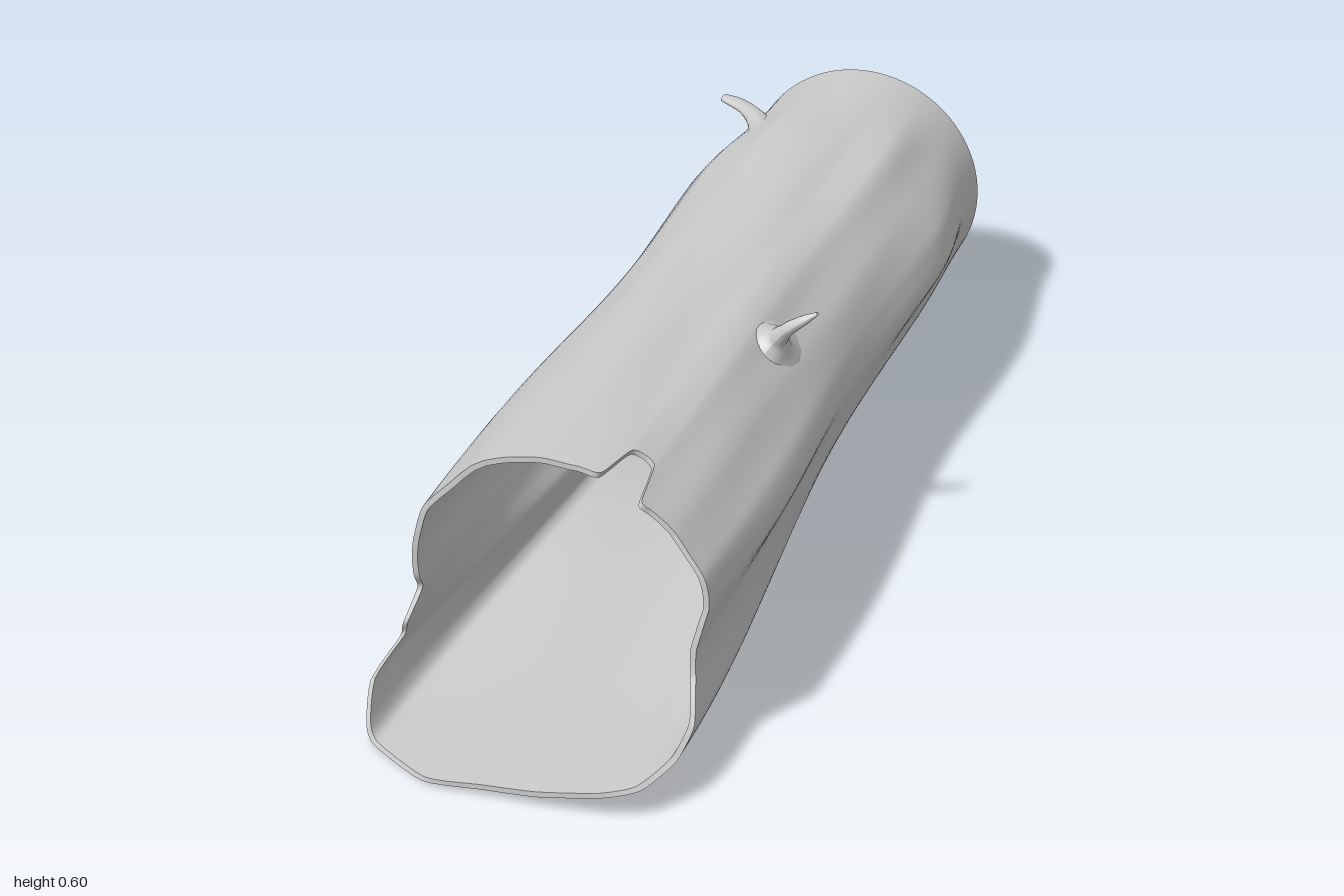
import * as THREE from 'three';

const material = new THREE.MeshStandardMaterial({ color: 0xcccccc, side: THREE.DoubleSide });
const CX = 0.02, CY = 0.305, R = 0.256;
const { smoothstep, lerp, clamp } = THREE.MathUtils;

// Broken-end outline, counter-clockwise: x, y and the z where the wall stops
const outline = [
  [0.315, 0.33, 0.77], [0.302, 0.4, 0.77], [0.245, 0.465, 0.76], [0.2, 0.505, 0.76],
  [0.18, 0.523, 0.76], [0.163, 0.535, 0.66], [0.12, 0.55, 0.66], [0.1, 0.555, 0.76], // splintered notch
  [0.06, 0.565, 0.76], [-0.01, 0.571, 0.76], [-0.08, 0.558, 0.76], [-0.18, 0.497, 0.76],
  [-0.245, 0.43, 0.77], [-0.267, 0.36, 0.77], [-0.272, 0.27, 0.76], [-0.275, 0.23, 0.74],
  [-0.288, 0.17, 0.77], [-0.3, 0.13, 0.76], [-0.315, 0.09, 0.85], [-0.303, 0.03, 0.9],
  [-0.28, 0.003, 0.92], [-0.15, 0.012, 1], [-0.04, 0.021, 1], [0.07, 0.032, 1],
  [0.19, 0.06, 1], [0.25, 0.07, 0.97], [0.292, 0.1, 0.91], [0.3, 0.13, 0.84],
  [0.288, 0.19, 0.79], [0.284, 0.25, 0.78],
];
const rim = new THREE.CatmullRomCurve3(outline.map(p => new THREE.Vector3(...p)), true, 'catmullrom', 0.3);
const COLS = outline.length * 5, ROWS = 60;
const columns = Array.from({ length: COLS }, (_, i) => rim.getPoint(i / COLS));

// Wall thickness along the trunk, thinnest at the ends
const wall = v => 0.006 + 0.01 * Math.sin(Math.PI * v) + 0.005 * v;

// Point on the wall: a round tube that grows into the broken outline
function wallPoint(i, v, depth) {
  const p = columns[i];
  const z = -1 + v * (p.z + 1);
  const a = Math.atan2(p.y - CY, p.x - CX);
  const low = 1 - smoothstep(p.y, 0.12, 0.34);
  const lateLeft = smoothstep(p.y, 0.02, 0.12) * smoothstep(-p.x, 0.1, 0.3);
  const flare = Math.pow(smoothstep(z, -0.45, 0.85), 1.25 + 1.5 * lateLeft);
  const bulge = smoothstep(z, -1, -0.6) * (0.65 + 0.27 * Math.cos(5.46 * (z + 0.65)));
  const w = lerp(bulge, flare, low);
  const ripple = 0.004 * smoothstep(z, -1, -0.7) * (1 - low)
    * (Math.sin(a * 7 + z * 3) * Math.sin(z * 4 + a) + 0.5 * Math.sin(a * 13 - z * 2));
  const r = lerp(R, Math.hypot(p.x - CX, p.y - CY), w) + ripple - depth;
  return [CX + r * Math.cos(a), CY + r * Math.sin(a), z];
}

// Closed band of quads swept round the outline
function band(name, rows, point, flip) {
  const pos = [], idx = [];
  for (let j = 0; j <= rows; j++)
    for (let i = 0; i < COLS; i++) pos.push(...point(i, j / rows));
  for (let j = 0; j < rows; j++)
    for (let i = 0; i < COLS; i++) {
      const n = (i + 1) % COLS;
      const a = j * COLS + i, b = j * COLS + n, c = a + COLS, d = b + COLS;
      if (flip) idx.push(a, c, b, b, c, d);
      else idx.push(a, b, c, b, d, c);
    }
  const geo = new THREE.BufferGeometry();
  geo.setAttribute('position', new THREE.Float32BufferAttribute(pos, 3));
  geo.setIndex(idx);
  geo.computeVertexNormals();
  return part(name, geo);
}

function part(name, geo) {
  const mesh = new THREE.Mesh(geo, material);
  mesh.name = name;
  return mesh;
}

// Curved spike with a flared root that spreads over the bark
function branch(name, points, radii, stretch) {
  const curve = new THREE.CatmullRomCurve3(points.map(p => new THREE.Vector3(...p)));
  const segs = 24, sides = 16;
  const geo = new THREE.TubeGeometry(curve, segs, 1, sides);
  const pos = geo.attributes.position;
  const v = new THREE.Vector3();
  for (let k = 0; k < pos.count; k++) {
    const t = Math.floor(k / (sides + 1)) / segs;
    const f = t * (radii.length - 1), n = clamp(Math.floor(f), 0, radii.length - 2);
    const centre = curve.getPointAt(t);
    v.fromBufferAttribute(pos, k).sub(centre).multiplyScalar(lerp(radii[n], radii[n + 1], f - n));
    v.z *= stretch;
    v.add(centre);
    // keep the root from piercing the hollow
    const push = Math.max(1, R / Math.hypot(v.x - CX, v.y - CY));
    pos.setXYZ(k, CX + (v.x - CX) * push, CY + (v.y - CY) * push, v.z);
  }
  geo.computeVertexNormals();
  return part(name, geo);
}

// Small raised ring of bark on the side wall
function knot(x, y, z, size) {
  const mesh = part('knot', new THREE.TorusGeometry(size, size * 0.35, 8, 16));
  mesh.position.set(x, y, z);
  mesh.rotation.y = Math.PI / 2;
  mesh.scale.set(1.5, 0.8, 0.6);
  return mesh;
}

export function createModel() {
  const group = new THREE.Group();
  group.name = 'hollowLog';
  group.add(
    band('bark', ROWS, (i, v) => wallPoint(i, v, 0), false),
    band('hollow', ROWS, (i, v) => wallPoint(i, v, wall(v)), true),
    band('brokenRim', 1, (i, v) => wallPoint(i, 1, v * wall(1)), false),
    band('sawnRim', 1, (i, v) => wallPoint(i, 0, v * wall(0)), true),
    branch('leftBranch',
      [[0.175, 0.48, 0.125], [0.2, 0.513, 0.135], [0.235, 0.557, 0.155], [0.29, 0.598, 0.155]],
      [0.09, 0.045, 0.02, 0.014, 0.012, 0.009, 0.003], 1.15),
    branch('rightBranch',
      [[-0.13, 0.47, -0.77], [-0.17, 0.487, -0.83], [-0.22, 0.494, -0.875], [-0.268, 0.5, -0.89]],
      [0.05, 0.032, 0.02, 0.015, 0.012, 0.01, 0.007], 2),
    knot(-0.247, 0.32, -0.31, 0.018),
    knot(-0.264, 0.33, 0.68, 0.02),
  );
  return group;
}
